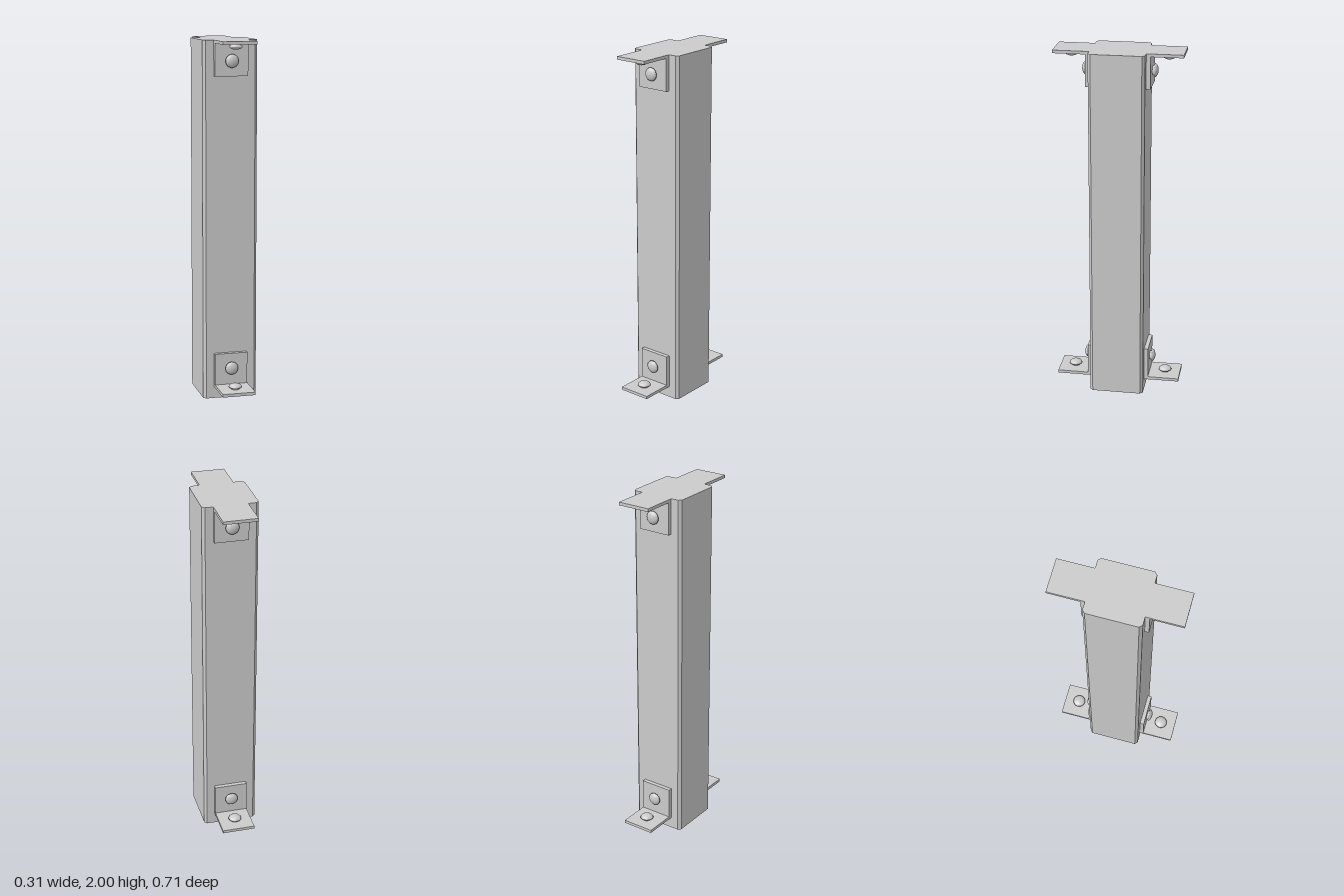
import * as THREE from 'three';

const material = new THREE.MeshStandardMaterial({ color: 0xcccccc, flatShading: true });
const boltMaterial = new THREE.MeshStandardMaterial({ color: 0xcccccc });

const HALF = 0.153;      // half width of the post
const CHAMFER = 0.015;
const REACH = 0.353;     // outer end of the bracket flange
const LEG = 0.195;       // height of the bracket's upright leg
const LEG_T = 0.023;
const FLANGE_T = 0.017;
const WIDTH = 0.186;

function polygon(points) {
  return new THREE.Shape(points.map(([x, y]) => new THREE.Vector2(x, y)));
}

function add(parent, name, geometry, mat = material) {
  const mesh = new THREE.Mesh(geometry, mat);
  mesh.name = name;
  parent.add(mesh);
  return mesh;
}

// Square post with chamfered corners
function postGeometry() {
  const a = HALF, b = HALF - CHAMFER;
  const shape = polygon([[a, -b], [a, b], [b, a], [-b, a], [-a, b], [-a, -b], [-b, -a], [b, -a]]);
  return new THREE.ExtrudeGeometry(shape, { depth: 2, bevelEnabled: false }).rotateX(-Math.PI / 2);
}

// L-shaped angle plate, flange at the bottom reaching towards +z
function angleGeometry() {
  const inner = HALF + LEG_T;
  const shape = polygon([
    [HALF, 0], [REACH, 0], [REACH, FLANGE_T], [inner, FLANGE_T], [inner, LEG], [HALF, LEG],
  ]);
  return new THREE.ExtrudeGeometry(shape, { depth: WIDTH, bevelEnabled: false })
    .translate(0, 0, -WIDTH / 2).rotateY(-Math.PI / 2);
}

// Domed bolt head with an undercut neck, axis along +y
function boltGeometry() {
  const profile = [[0.024, -0.005], [0.026, 0.006], [0.037, 0.011]];
  for (let i = 1; i <= 5; i++) {
    const t = (i / 5) * Math.PI / 2;
    profile.push([i === 5 ? 0 : 0.037 * Math.cos(t), 0.011 + 0.02 * Math.sin(t)]);
  }
  return new THREE.LatheGeometry(profile.map(([r, y]) => new THREE.Vector2(r, y)), 24);
}

export function createModel() {
  const model = new THREE.Group();
  model.name = 'bracketedPost';
  add(model, 'post', postGeometry());

  const angle = angleGeometry();
  const bolt = boltGeometry();

  // One bracket on the front and back at each end; the top ones are turned over
  for (const side of ['front', 'back']) {
    for (const end of ['Bottom', 'Top']) {
      const bracket = new THREE.Group();
      bracket.name = side + end + 'Bracket';
      add(bracket, 'anglePlate', angle);
      add(bracket, 'flangeBolt', bolt, boltMaterial).position.set(0, FLANGE_T, 0.265);
      const legBolt = add(bracket, 'legBolt', bolt, boltMaterial);
      legBolt.position.set(0, 0.112, HALF + LEG_T);
      legBolt.rotation.x = Math.PI / 2;
      bracket.position.y = end === 'Top' ? 2 : 0.065;
      bracket.rotation.set(0, side === 'back' ? Math.PI : 0, end === 'Top' ? Math.PI : 0);
      model.add(bracket);
    }
  }
  return model;
}
